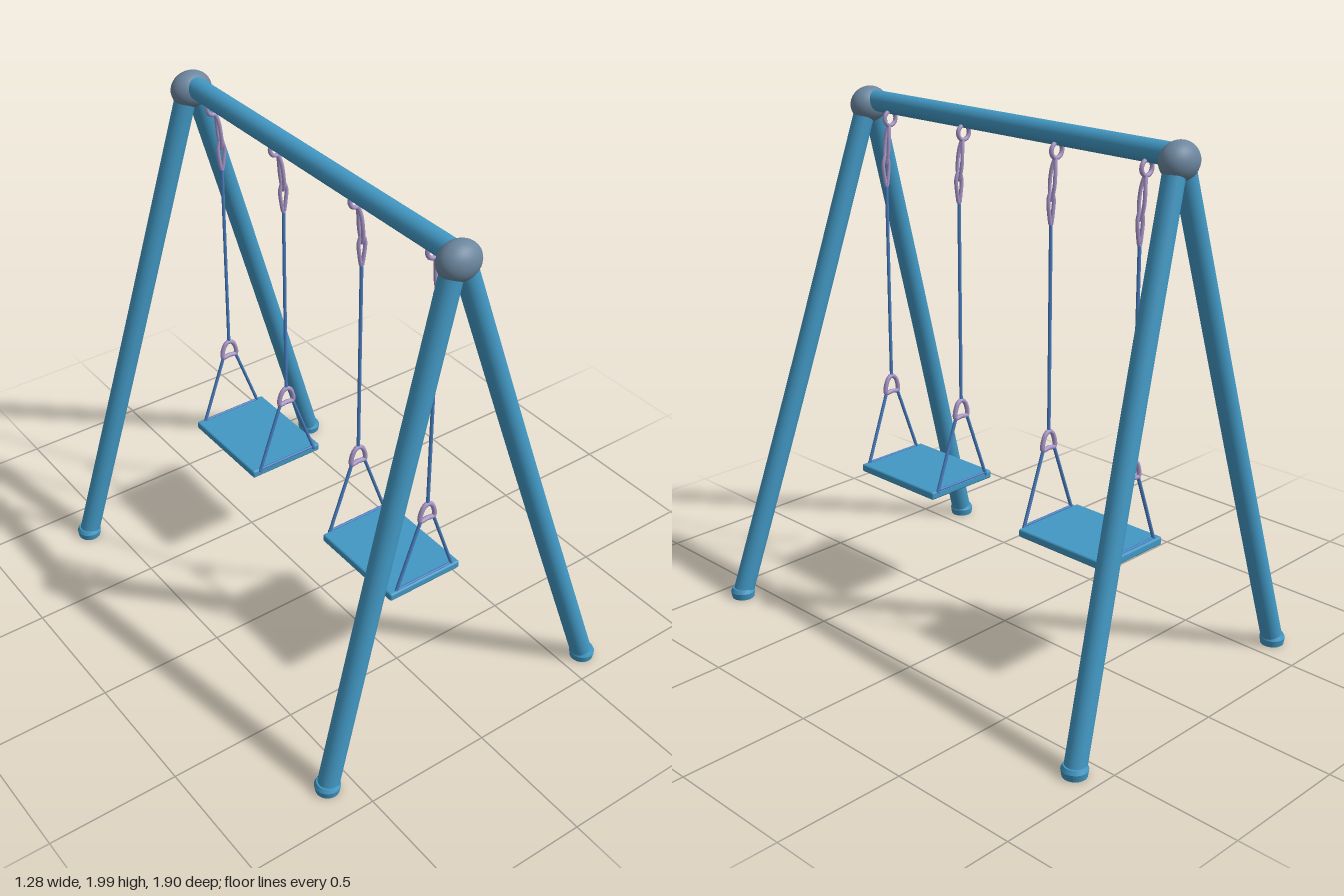
import * as THREE from 'three';
import { RoundedBoxGeometry } from 'three/addons/geometries/RoundedBoxGeometry.js';

const mat = (name, color) => new THREE.MeshStandardMaterial({ name, color });
const V = (x, y, z) => new THREE.Vector3(x, y, z);

export function createModel() {
  const model = new THREE.Group();
  model.name = 'swingSet';
  const frameBlue = mat('frame blue', 0x4298c4);
  const jointGrey = mat('joint grey', 0x6c869e);
  const ropeBlue = mat('rope blue', 0x4a7fc2);
  const metalLilac = mat('hardware lilac', 0xa896c8);

  const add = (parent, name, geometry, material) => {
    const mesh = new THREE.Mesh(geometry, material);
    mesh.name = name;
    parent.add(mesh);
    return mesh;
  };

  // Cylinder running from a to b
  const rod = (parent, name, a, b, rA, rB, material, sides = 24) => {
    const mesh = add(parent, name, new THREE.CylinderGeometry(rB, rA, a.distanceTo(b), sides), material);
    mesh.position.copy(a).add(b).multiplyScalar(0.5);
    mesh.quaternion.setFromUnitVectors(V(0, 1, 0), b.clone().sub(a).normalize());
    return mesh;
  };

  // Closed loop of round wire through the given points
  const loop = (parent, name, points, radius, material) =>
    add(parent, name, new THREE.TubeGeometry(new THREE.CatmullRomCurve3(points, true), 40, radius, 8, true), material);

  // Top beam and rounded end joints
  const beamX = -0.045, beamY = 1.948;
  rod(model, 'topBeam', V(beamX, beamY, -0.75), V(beamX, beamY, 0.775), 0.04, 0.04, frameBlue);
  for (const z of [-0.745, 0.775]) {
    const joint = add(model, 'joint', new THREE.SphereGeometry(1, 32, 20), jointGrey);
    joint.scale.set(0.08, 0.069, 0.062);
    joint.position.set(beamX, 1.931, z);
  }

  // Slightly bowed legs with flared feet
  const legs = [
    { foot: V(-0.595, 0.024, 0.862), topZ: 0.775, bow: -0.005 },
    { foot: V(0.59, 0.024, 0.9), topZ: 0.775, bow: -0.007 },
    { foot: V(-0.595, 0.024, -0.842), topZ: -0.745, bow: 0.003 },
    { foot: V(0.59, 0.024, -0.905), topZ: -0.745, bow: 0.004 },
  ];
  for (const { foot, topZ, bow } of legs) {
    const top = V(beamX + Math.sign(foot.x) * 0.02, 1.92, topZ);
    const middle = foot.clone().lerp(top, 0.5);
    middle.z += bow;
    const path = new THREE.CatmullRomCurve3([foot, middle, top]);
    add(model, 'leg', new THREE.TubeGeometry(path, 24, 0.04, 24), frameBlue);
    const flange = add(model, 'foot', new THREE.CylinderGeometry(0.048, 0.044, 0.026, 24), frameBlue);
    flange.position.set(foot.x, 0.022, foot.z);
    const collar = add(model, 'footCollar', new THREE.CylinderGeometry(0.04, 0.048, 0.015, 24), frameBlue);
    collar.position.set(foot.x, 0.0425, foot.z);
  }

  // One hanging line: eye, snap hook, thimble, rope, spreader ring and two stays
  const hanger = (parent, z) => {
    const line = new THREE.Group();
    line.name = 'hanger';
    line.position.z = z;
    parent.add(line);
    const eye = add(line, 'eyeRing', new THREE.TorusGeometry(0.027, 0.008, 8, 24), metalLilac);
    eye.position.set(-0.026, 1.895, 0);
    loop(line, 'snapHook', [
      V(-0.02, 1.87, 0), V(-0.012, 1.84, 0.008), V(-0.004, 1.77, 0.011),
      V(0, 1.725, 0), V(-0.004, 1.77, -0.011), V(-0.012, 1.84, -0.008),
    ], 0.007, metalLilac);
    loop(line, 'thimble', [
      V(0, 1.755, 0), V(0.013, 1.73, 0), V(0.01, 1.68, 0),
      V(0, 1.635, 0), V(-0.01, 1.68, 0), V(-0.013, 1.73, 0),
    ], 0.007, metalLilac);
    rod(line, 'rope', V(0, 0.86, 0), V(0, 1.65, 0), 0.0065, 0.0065, ropeBlue, 8);
    loop(line, 'spreaderRing', [
      V(0, 0.868, 0), V(0.021, 0.853, 0), V(0.031, 0.802, 0),
      V(0, 0.803, 0), V(-0.031, 0.802, 0), V(-0.021, 0.853, 0),
    ], 0.009, metalLilac);
    for (const side of [-1, 1]) {
      rod(line, 'stay', V(side * 0.13, 0.52, 0), V(side * 0.029, 0.8, 0), 0.0065, 0.0065, ropeBlue, 8);
    }
    rod(line, 'seatEdgeRope', V(-0.132, 0.531, 0), V(0.132, 0.531, 0), 0.005, 0.005, ropeBlue, 8);
  };

  // Two swings, each with a flat seat and a hanger at both ends
  for (const { centre, front, back } of [
    { centre: 0.44, front: 0.636, back: 0.235 },
    { centre: -0.432, front: -0.225, back: -0.626 },
  ]) {
    const swing = new THREE.Group();
    swing.name = 'swing';
    model.add(swing);
    const seat = add(swing, 'seat', new RoundedBoxGeometry(0.318, 0.032, 0.414, 3, 0.008), frameBlue);
    seat.position.set(-0.001, 0.514, centre);
    hanger(swing, front);
    hanger(swing, back);
  }
  return model;
}
